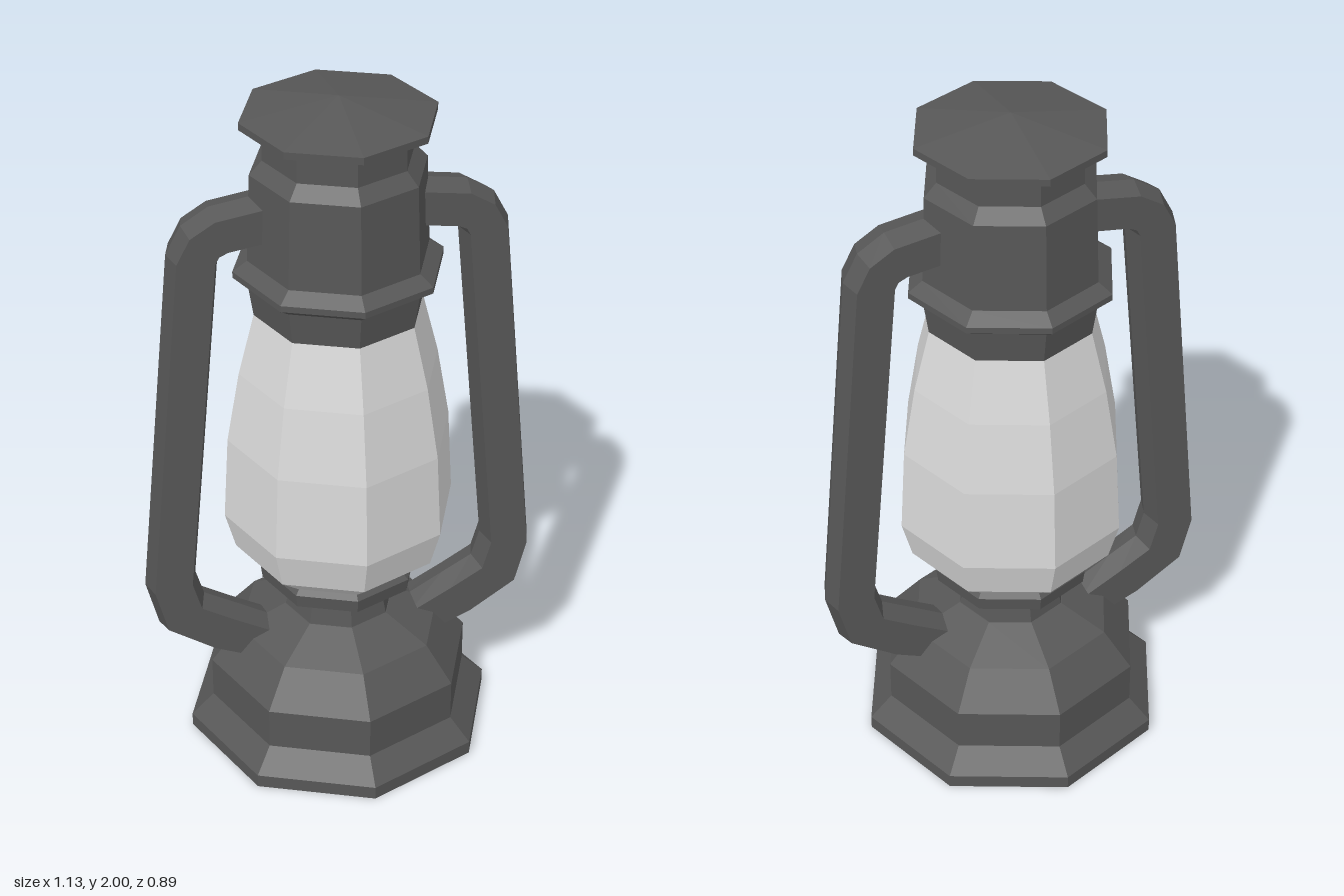
import * as THREE from 'three';

const metal = new THREE.MeshStandardMaterial({ color: 0x575757 });
metal.name = 'dark metal';
const glass = new THREE.MeshStandardMaterial({ color: 0xd8d8d8 });
glass.name = 'pale glass';

// Gives every face its own flat normal
function faceted(geometry) {
  const flat = geometry.index ? geometry.toNonIndexed() : geometry;
  flat.computeVertexNormals();
  return flat;
}

// Eight-sided turned part from [radius, height] pairs, bottom to top
function turned(name, profile, material) {
  const points = profile.map(([r, y]) => new THREE.Vector2(r, y));
  const mesh = new THREE.Mesh(faceted(new THREE.LatheGeometry(points, 8)), material);
  mesh.name = name;
  return mesh;
}

// Six-sided bar swept through [outerX, outerY, innerX, innerY] sections
function handleGeometry(sections) {
  const half = 0.062;
  const ring = [[0, 0], [0.13, half], [0.87, half], [1, 0], [0.87, -half], [0.13, -half]];
  const positions = [], index = [];
  for (const [ox, oy, ix, iy] of sections) {
    for (const [t, z] of ring) positions.push(ox + (ix - ox) * t, oy + (iy - oy) * t, z);
  }
  for (let i = 0; i < sections.length - 1; i++) {
    for (let j = 0; j < 6; j++) {
      const a = i * 6 + j, b = i * 6 + (j + 1) % 6;
      index.push(a, b, a + 6, b, b + 6, a + 6);
    }
  }
  // End caps
  const last = (sections.length - 1) * 6;
  for (let k = 1; k < 5; k++) {
    index.push(0, k + 1, k, last, last + k, last + k + 1);
  }
  const geometry = new THREE.BufferGeometry();
  geometry.setAttribute('position', new THREE.Float32BufferAttribute(positions, 3));
  geometry.setIndex(index);
  return faceted(geometry);
}

export function createModel() {
  const lantern = new THREE.Group();
  lantern.name = 'lantern';

  lantern.add(
    turned('base', [
      [0, 0], [0.445, 0], [0.445, 0.04], [0.38, 0.105], [0.38, 0.23],
      [0.295, 0.335], [0.16, 0.4], [0, 0.4],
    ], metal),
    turned('neck', [[0.16, 0.39], [0.142, 0.48]], metal),
    turned('burnerCollar', [
      [0, 0.475], [0.17, 0.475], [0.225, 0.505], [0.23, 0.545], [0.215, 0.56], [0, 0.56],
    ], metal),
    turned('glassChimney', [
      [0.205, 0.55], [0.3, 0.63], [0.33, 0.74], [0.316, 0.99], [0.28, 1.2], [0.235, 1.38],
    ], glass),
    turned('upperCollar', [[0, 1.38], [0.235, 1.38], [0.25, 1.48]], metal),
    turned('rimRing', [
      [0.24, 1.475], [0.25, 1.475], [0.29, 1.502], [0.29, 1.52], [0.25, 1.548], [0.24, 1.548],
    ], metal),
    turned('chimneyHood', [
      [0.25, 1.54], [0.24, 1.8], [0.205, 1.838], [0.205, 1.92],
    ], metal),
    turned('cap', [[0, 1.91], [0.205, 1.91], [0.265, 1.932], [0.265, 1.952], [0, 2]], metal)
  );

  // Matching side handles, joined to the hood and the base
  const bar = handleGeometry([
    [0.2, 1.745, 0.2, 1.612],
    [0.35, 1.722, 0.305, 1.597],
    [0.425, 1.675, 0.322, 1.591],
    [0.467, 1.595, 0.328, 1.58],
    [0.565, 0.54, 0.42, 0.56],
    [0.53, 0.4, 0.397, 0.48],
    [0.39, 0.305, 0.31, 0.43],
    [0.22, 0.235, 0.19, 0.36],
  ]);
  for (const [name, turn] of [['leftHandle', 0], ['rightHandle', Math.PI]]) {
    const handle = new THREE.Mesh(bar, metal);
    handle.name = name;
    handle.rotation.y = turn;
    lantern.add(handle);
  }
  return lantern;
}
